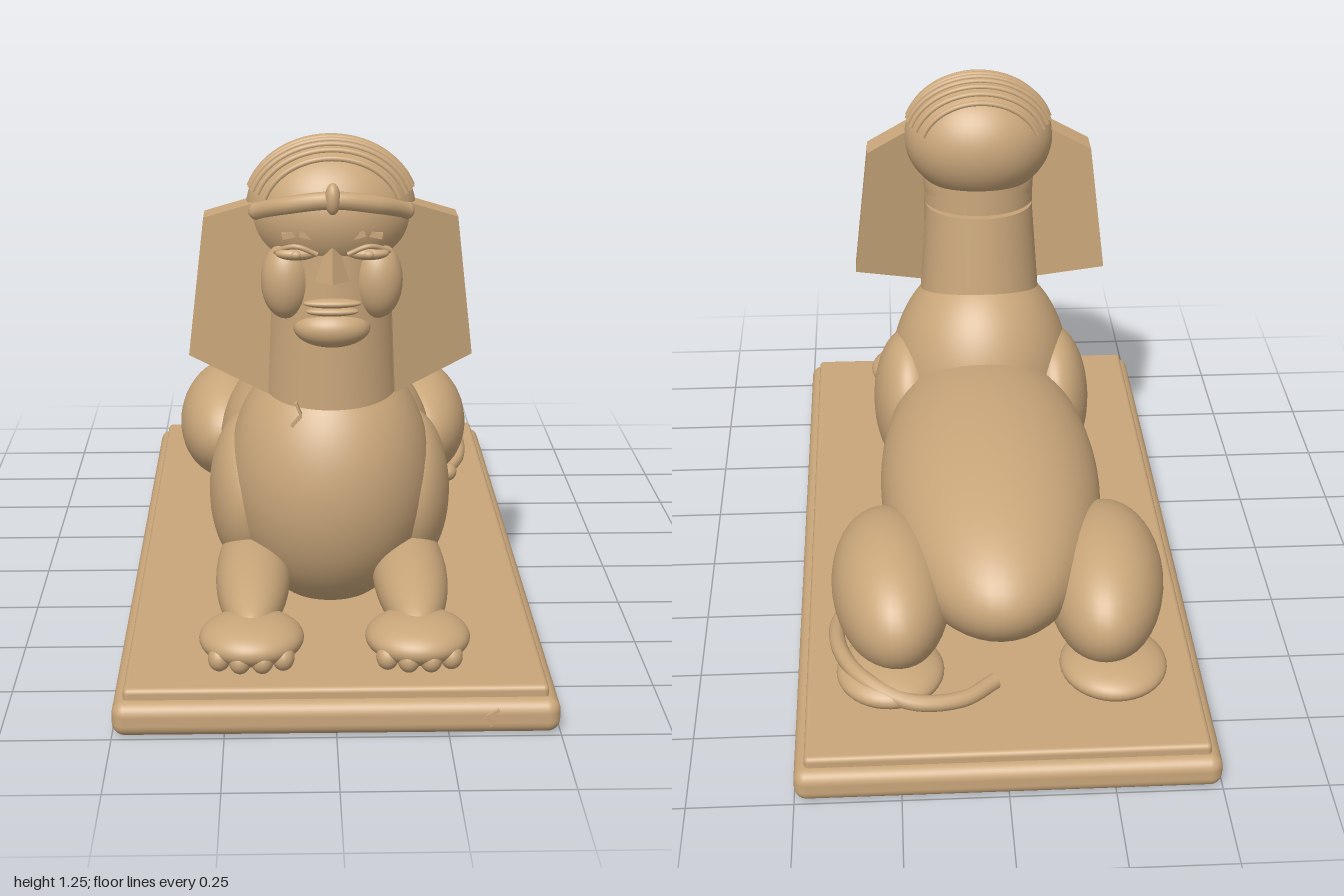
import * as THREE from 'three';
import { RoundedBoxGeometry } from 'three/addons/geometries/RoundedBoxGeometry.js';

export function createModel() {
  const model = new THREE.Group();
  const sandstone = new THREE.MeshStandardMaterial({ color: 0xc9a67a });
  sandstone.name = 'sandstone';

  const add = (name, geometry, x = 0, y = 0, z = 0) => {
    const mesh = new THREE.Mesh(geometry, sandstone);
    mesh.name = name;
    mesh.position.set(x, y, z);
    model.add(mesh);
    return mesh;
  };
  const blob = (name, [x, y, z], [rx, ry, rz], detail = 40) =>
    add(name, new THREE.SphereGeometry(1, detail, Math.round(detail * 0.7)).scale(rx, ry, rz), x, y, z);
  const tube = (name, points, radius, segments = 40) => {
    const curve = new THREE.CatmullRomCurve3(points.map((p) => new THREE.Vector3(...p)));
    return add(name, new THREE.TubeGeometry(curve, segments, radius, 12));
  };
  const bar = (name, a, b, width, depth) => {
    const dx = b[0] - a[0], dy = b[1] - a[1];
    const mesh = add(name, new THREE.BoxGeometry(Math.hypot(dx, dy), width, depth),
      (a[0] + b[0]) / 2, (a[1] + b[1]) / 2, (a[2] + b[2]) / 2);
    mesh.rotation.z = Math.atan2(dy, dx);
    return mesh;
  };

  // Stepped plinth
  add('plinth', new RoundedBoxGeometry(1, 0.08, 2, 5, 0.03), 0, 0.04, 0);
  add('plinthStep', new RoundedBoxGeometry(0.95, 0.05, 1.94, 4, 0.012), 0, 0.08, 0);

  // Trunk and chest
  blob('body', [0, 0.33, -0.14], [0.285, 0.23, 0.635], 56);
  blob('chest', [0, 0.4, 0.35], [0.25, 0.33, 0.265], 56);

  // Limbs, mirrored
  for (const s of [-1, 1]) {
    blob('shoulder', [s * 0.2, 0.34, 0.3], [0.1, 0.2, 0.19]);
    blob('foreleg', [s * 0.19, 0.19, 0.5], [0.09, 0.08, 0.34]);
    blob('frontPaw', [s * 0.19, 0.16, 0.81], [0.12, 0.053, 0.12]);
    for (const t of [-0.072, -0.025, 0.025, 0.072]) {
      blob('toe', [s * 0.19 + t, 0.14, 0.905 - Math.abs(t) * 0.35], [0.026, 0.03, 0.032], 20);
    }
    const thigh = blob('thigh', [s * 0.265, 0.27, -0.52], [0.145, 0.162, 0.27]);
    thigh.rotation.y = s * 0.08;
    blob('hindFoot', [s * 0.27, 0.15, -0.7], [0.13, 0.048, 0.14]);
  }

  // Tail curled round one haunch
  tube('tail', [[0.02, 0.14, -0.745], [0.1, 0.14, -0.81], [0.22, 0.15, -0.828], [0.33, 0.175, -0.77],
    [0.39, 0.175, -0.65], [0.395, 0.155, -0.5], [0.35, 0.14, -0.39]], 0.02, 60);
  add('tailRootCap', new THREE.CircleGeometry(0.02, 16), 0.02, 0.14, -0.745).lookAt(-0.06, 0.14, -0.69);
  blob('tailTip', [0.35, 0.14, -0.39], [0.033, 0.027, 0.04], 20);

  // Neck: tapered collar and upper column
  add('neck', new THREE.CylinderGeometry(0.145, 0.17, 0.35, 48), 0, 0.72, 0.39).rotation.x = 0.06;
  add('upperNeck', new THREE.CylinderGeometry(0.145, 0.15, 0.22, 48), 0, 0.94, 0.43);

  // Head and face
  blob('face', [0, 0.95, 0.43], [0.15, 0.17, 0.145]);
  blob('headCloth', [0, 1.08, 0.42], [0.2, 0.165, 0.18], 48);
  blob('chin', [0, 0.82, 0.54], [0.09, 0.047, 0.06]);
  blob('upperLip', [0, 0.888, 0.585], [0.068, 0.011, 0.02], 24);
  blob('lowerLip', [0, 0.869, 0.585], [0.062, 0.011, 0.02], 24);
  const nose = new THREE.CylinderGeometry(0.014, 0.04, 0.08, 4, 1).toNonIndexed();
  nose.computeVertexNormals();
  add('nose', nose, 0, 0.978, 0.575);
  for (const s of [-1, 1]) {
    blob('cheek', [s * 0.107, 0.93, 0.53], [0.058, 0.09, 0.055]);
    blob('eye', [s * 0.083, 1.003, 0.57], [0.048, 0.016, 0.024], 24);
    blob('pupil', [s * 0.083, 1.003, 0.588], [0.014, 0.01, 0.01], 16);
    tube('eyelid', [[s * 0.035, 1.004, 0.588], [s * 0.083, 1.023, 0.59], [s * 0.133, 1.006, 0.56]], 0.006, 16);
    bar('brow', [s * 0.028, 1.04, 0.572], [s * 0.075, 1.052, 0.565], 0.014, 0.04);
    bar('brow', [s * 0.07, 1.052, 0.56], [s * 0.115, 1.043, 0.55], 0.014, 0.045);
  }

  // Raised ribs over the crown, following the head's outline
  for (let i = 0; i < 9; i++) {
    const z = 0.31 + i * 0.027;
    const k = Math.sqrt(1 - ((z - 0.42) / 0.18) ** 2);
    const points = [];
    for (let j = 0; j <= 14; j++) {
      const a = 0.32 + (j / 14) * (Math.PI - 0.64);
      points.push([Math.cos(a) * (0.2 * k + 0.001), 1.08 + Math.sin(a) * (0.165 * k + 0.001), z]);
    }
    tube('crownRib', points, 0.0075, 30);
  }

  // Brow band with centre boss
  tube('headband', [[-0.172, 1.088, 0.5], [-0.1, 1.115, 0.568], [0, 1.13, 0.592],
    [0.1, 1.115, 0.568], [0.172, 1.088, 0.5]], 0.021);
  for (const s of [-1, 1]) blob('headbandEnd', [s * 0.172, 1.088, 0.5], [0.021, 0.021, 0.021], 16);
  blob('bandBoss', [0, 1.135, 0.6], [0.018, 0.037, 0.022], 20);

  // Hanging cloth lappets, swept back toward the outer edge
  for (const s of [-1, 1]) {
    const corners = [[0.13, 1.125], [0.3, 1.06], [0.34, 0.72], [0.15, 0.65]];
    const shape = new THREE.Shape(corners.map(([x, y]) => new THREE.Vector2(s * x, y)));
    const geometry = new THREE.ExtrudeGeometry(shape, { depth: 0.085, bevelEnabled: false });
    const p = geometry.attributes.position;
    for (let i = 0; i < p.count; i++) {
      p.setZ(i, p.getZ(i) + 0.42 - 0.48 * (Math.abs(p.getX(i)) - 0.16));
    }
    geometry.computeVertexNormals();
    add('lappet', geometry);
  }

  // Weathering chips on the chest and plinth
  bar('chestCrack', [-0.085, 0.64, 0.549], [-0.073, 0.61, 0.557], 0.006, 0.02);
  bar('chestCrack', [-0.073, 0.61, 0.557], [-0.095, 0.585, 0.563], 0.006, 0.02);
  bar('plinthCrack', [0.36, 0.062, 1], [0.33, 0.047, 1], 0.006, 0.008);
  bar('plinthCrack', [0.33, 0.047, 1], [0.345, 0.025, 1], 0.006, 0.008);

  return model;
}
